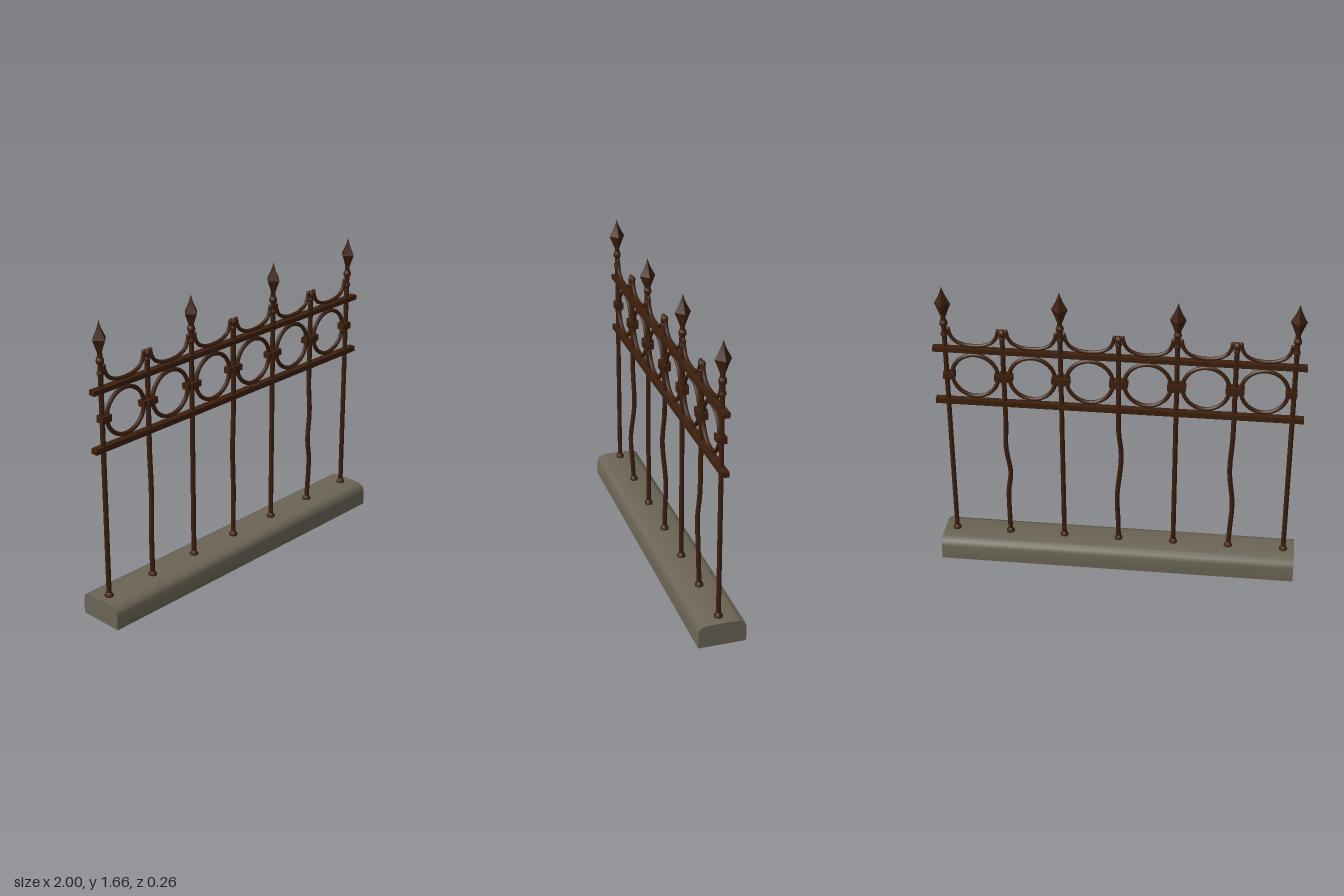
import * as THREE from 'three';
import { toCreasedNormals } from 'three/addons/utils/BufferGeometryUtils.js';

export function createModel() {
  const fence = new THREE.Group();
  fence.name = 'fence';
  const iron = new THREE.MeshStandardMaterial({ name: 'rusty iron', color: 0x3d200e });
  const stone = new THREE.MeshStandardMaterial({ name: 'stone', color: 0x6b6556 });

  const add = (name, geometry, x = 0, y = 0, z = 0, material = iron, parent = fence) => {
    const mesh = new THREE.Mesh(geometry, material);
    mesh.name = name;
    mesh.position.set(x, y, z);
    parent.add(mesh);
    return mesh;
  };
  const box = (w, h, d) => new THREE.BoxGeometry(w, h, d);
  const lathe = (points, sides) =>
    new THREE.LatheGeometry(points.map(([r, y]) => new THREE.Vector2(r, y)), sides);

  // Stone plinth with rounded upper edges
  const half = [[0.13, 0], [0.13, 0.085], [0.12, 0.113], [0.085, 0.127]];
  const outline = [...half, ...half.map(([z, y]) => [-z, y]).reverse()];
  const plinth = new THREE.ExtrudeGeometry(
    new THREE.Shape(outline.map(([z, y]) => new THREE.Vector2(z, y))),
    { depth: 2, bevelEnabled: false });
  plinth.translate(0, 0, -1).rotateY(Math.PI / 2);
  add('plinth', toCreasedNormals(plinth, 1.1), 0, 0, 0, stone);

  // Horizontal rails
  add('lowerRail', box(2, 0.03, 0.038), 0, 0.98);
  add('upperRail', box(2, 0.027, 0.038), 0, 1.297);

  const spacing = 0.3117;
  const postX = (i) => -0.938 + i * spacing;

  // Sideways and forward offsets [y, dx, dz] of the bent posts
  const bends = {
    1: [[0.85, 0, 0], [0.63, 0.009, -0.004], [0.4, -0.013, 0.013], [0.25, -0.006, 0.006]],
    3: [[0.85, 0, 0], [0.67, -0.014, 0.008], [0.42, 0.007, -0.006], [0.25, 0.002, -0.002]],
    5: [[0.85, 0, 0], [0.69, 0.006, 0.004], [0.52, -0.013, 0.01], [0.4, 0.002, 0.01]],
  };

  // Finial profiles
  const neck = lathe([[0.012, 1.37], [0.019, 1.38], [0.019, 1.392], [0.012, 1.4],
    [0.012, 1.43], [0.02, 1.44], [0.022, 1.453], [0.018, 1.466], [0.011, 1.472], [0.012, 1.49]], 10);
  const knob = lathe([[0.012, 1.365], [0.018, 1.372], [0.018, 1.382], [0.012, 1.386],
    [0.019, 1.398], [0.021, 1.409], [0.015, 1.422], [0, 1.428]], 10);
  const spear = toCreasedNormals(lathe([[0, 1.478], [0.012, 1.484], [0.027, 1.525],
    [0.044, 1.565], [0.022, 1.605], [0.009, 1.635], [0, 1.664]], 4), 0.5);
  const foot = lathe([[0.024, 0.122], [0.024, 0.135], [0.015, 0.15], [0.011, 0.153]], 8);

  for (let i = 0; i < 7; i++) {
    const tall = i % 2 === 0 && i !== 3 && i !== 4 || i === 4;
    const post = new THREE.Group();
    post.name = tall ? 'spearPost' : 'bentPost';
    post.position.x = postX(i);
    fence.add(post);
    const part = (name, geometry, x = 0, y = 0) => add(name, geometry, x, y, 0, iron, post);

    // Shaft
    const top = tall ? 1.49 : 1.4;
    if (bends[i]) {
      const path = new THREE.CatmullRomCurve3(
        [[top, 0, 0], [1.1, 0, 0], ...bends[i], [0.12, 0, 0]].map(([y, x, z]) => new THREE.Vector3(x, y, z)));
      part('bentShaft', new THREE.TubeGeometry(path, 32, 0.0135, 8));
    } else {
      part('shaft', new THREE.CylinderGeometry(0.0135, 0.0135, top - 0.12, 8), 0, (top + 0.12) / 2);
    }
    part('foot', foot);

    // Finial
    if (tall) {
      part('finialNeck', neck);
      const head = part('spearhead', spear);
      if (i === 2) head.position.y = -0.025;
    } else {
      part('knob', knob);
    }

    // Collar gripping the neighbouring rings
    const end = i === 0 ? 1 : i === 6 ? -1 : 0;
    if (end) {
      part('endCollar', box(0.062, 0.038, 0.046), end * 0.014, 1.14);
    } else {
      part('collarBand', box(0.1, 0.034, 0.042));
      post.children.at(-1).position.y = 1.14;
      part('collarBlock', box(0.046, 0.042, 0.058), 0, 1.14);
    }
  }

  // Rings and hanging scrolls between the posts
  const ring = new THREE.TorusGeometry(0.126, 0.0115, 8, 32);
  const swag = new THREE.CatmullRomCurve3([
    [-0.134, 1.418], [-0.128, 1.39], [-0.105, 1.352], [-0.06, 1.329], [0, 1.322],
    [0.06, 1.329], [0.105, 1.352], [0.128, 1.39], [0.134, 1.418],
  ].map(([x, y]) => new THREE.Vector3(x, y, 0)));
  const scroll = new THREE.TubeGeometry(swag, 32, 0.0105, 8);
  const tip = new THREE.SphereGeometry(0.0115, 8, 6);
  for (let i = 0; i < 6; i++) {
    const x = postX(i) + spacing / 2;
    add('ring', ring, x, 1.14);
    add('scroll', scroll, x);
    for (const side of [-1, 1]) add('scrollTip', tip, x + side * 0.134, 1.418);
  }
  return fence;
}
